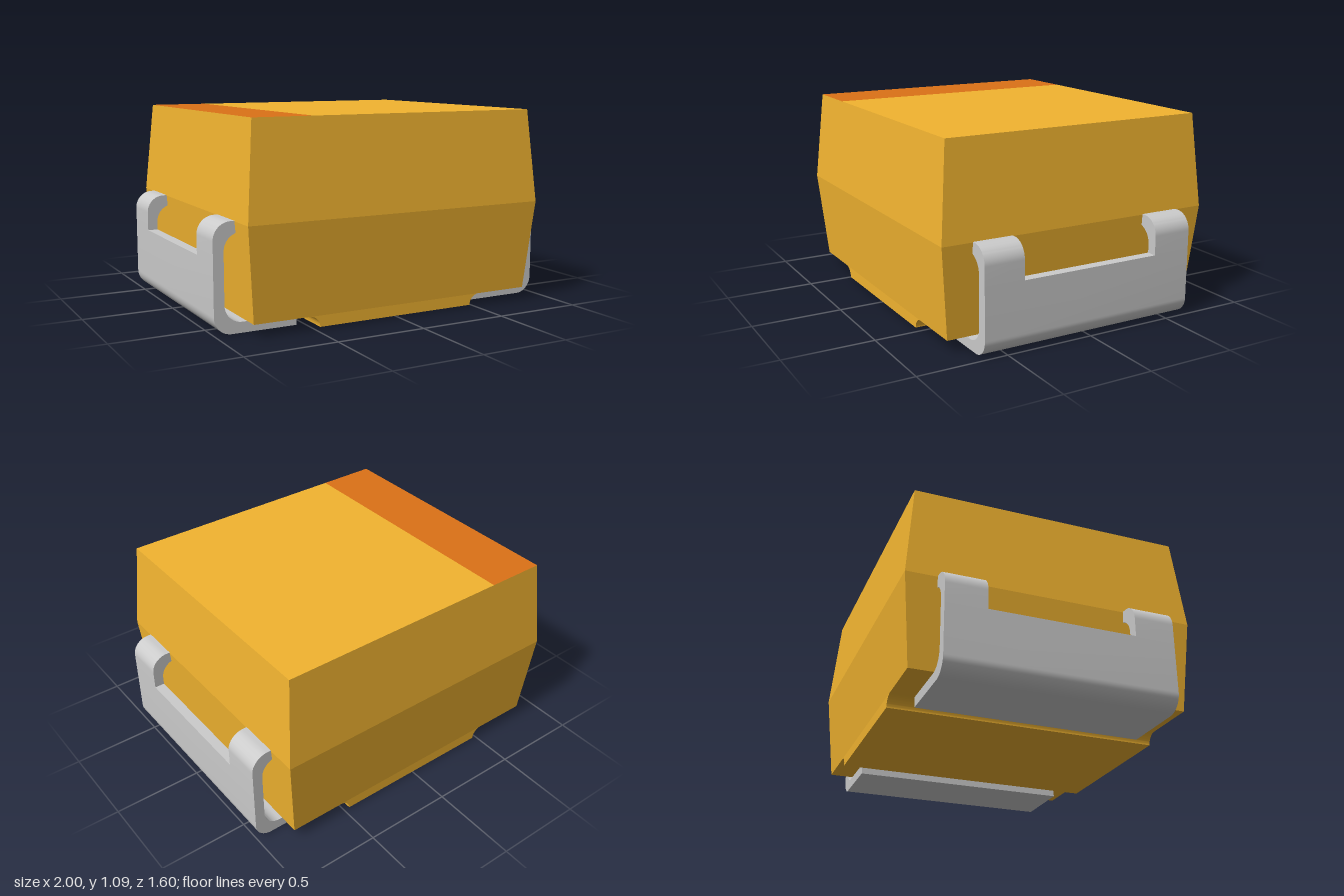
import * as THREE from 'three';
import { toCreasedNormals } from 'three/addons/utils/BufferGeometryUtils.js';

const caseMat = new THREE.MeshStandardMaterial({ color: 0xf2b430 });
const bandMat = new THREE.MeshStandardMaterial({ color: 0xdc7217 });
const leadMat = new THREE.MeshStandardMaterial({ color: 0xcccccc });

const TOP_X = 0.84, TOP_Z = 0.755, TOP_Y = 1.09, BAND_X = -0.505;

function addMesh(parent, name, geometry, material) {
  const mesh = new THREE.Mesh(geometry, material);
  mesh.name = name;
  parent.add(mesh);
  return mesh;
}

// Extrude an x/y profile along z, from z0 to z1
function extrudeZ(shape, z0, z1) {
  const geo = new THREE.ExtrudeGeometry(shape, { depth: z1 - z0, bevelEnabled: false, curveSegments: 8 });
  geo.translate(0, 0, z0);
  return toCreasedNormals(geo, Math.PI / 6);
}

// Case sides and underside: rectangular rings [y, half x, half z], widest at the parting line
function caseGeometry() {
  const rings = [[0.07, TOP_X, TOP_Z], [0.572, 0.883, 0.8], [TOP_Y, TOP_X, TOP_Z]];
  const pos = [], index = [0, 2, 1, 0, 3, 2];
  for (const [y, x, z] of rings) pos.push(x, y, z, x, y, -z, -x, y, -z, -x, y, z);
  for (let r = 0; r < 2; r++) {
    for (let i = 0; i < 4; i++) {
      const a = r * 4 + i, b = r * 4 + (i + 1) % 4;
      index.push(a, b, b + 4, a, b + 4, a + 4);
    }
  }
  let geo = new THREE.BufferGeometry();
  geo.setAttribute('position', new THREE.Float32BufferAttribute(pos, 3));
  geo.setIndex(index);
  geo = geo.toNonIndexed();
  geo.computeVertexNormals();
  return geo;
}

// Flat piece of the top face between two x positions
function topPanel(x0, x1) {
  const geo = new THREE.PlaneGeometry(x1 - x0, TOP_Z * 2);
  geo.rotateX(-Math.PI / 2);
  geo.translate((x0 + x1) / 2, TOP_Y, 0);
  return geo;
}

// Raised strip under the case with concave flanks
function pedestalShape() {
  const s = new THREE.Shape();
  s.moveTo(-0.47, 0.01);
  s.lineTo(0.47, 0.01);
  s.absarc(0.53, 0.01, 0.06, Math.PI, Math.PI / 2, true);
  s.lineTo(-0.53, 0.07);
  s.absarc(-0.53, 0.01, 0.06, Math.PI / 2, 0, true);
  return s;
}

// Bent metal terminal on the +x side: foot and wall, plus two hooks into the case
function createLead() {
  const lead = new THREE.Group();
  const bottom = 0, top = 0.575, t = 0.057, r = 0.095, notchY = 0.375, outer = 1, inner = outer - t;

  const foot = new THREE.Shape();
  foot.moveTo(0.545, bottom);
  foot.lineTo(outer - r, bottom);
  foot.absarc(outer - r, bottom + r, r, -Math.PI / 2, 0, false);
  foot.lineTo(outer, notchY);
  foot.lineTo(inner, notchY);
  foot.lineTo(inner, bottom + t + r);
  foot.absarc(inner - r, bottom + t + r, r, 0, -Math.PI / 2, true);
  foot.lineTo(0.545, bottom + t);
  addMesh(lead, 'footAndWall', extrudeZ(foot, -0.63, 0.63), leadMat);

  const hook = new THREE.Shape();
  hook.moveTo(inner, notchY);
  hook.lineTo(outer, notchY);
  hook.lineTo(outer, top - r);
  hook.absarc(outer - r, top - r, r, 0, Math.PI / 2, false);
  hook.lineTo(inner - r, top);
  hook.lineTo(inner - r, top - t);
  hook.absarc(inner - r, top - t - r, r, Math.PI / 2, 0, true);
  addMesh(lead, 'frontHook', extrudeZ(hook, 0.405, 0.63), leadMat);
  addMesh(lead, 'backHook', extrudeZ(hook, -0.63, -0.405), leadMat);
  return lead;
}

export function createModel() {
  const model = new THREE.Group();
  model.name = 'chipCapacitor';

  addMesh(model, 'case', caseGeometry(), caseMat);
  addMesh(model, 'caseTop', topPanel(BAND_X, TOP_X), caseMat);
  addMesh(model, 'polarityBand', topPanel(-TOP_X, BAND_X), bandMat);
  addMesh(model, 'pedestal', extrudeZ(pedestalShape(), -TOP_Z, TOP_Z), caseMat);

  // The terminals are the same part turned half round
  ['leftLead', 'rightLead'].forEach((name, i) => {
    const lead = createLead();
    lead.name = name;
    lead.rotation.y = i * Math.PI;
    model.add(lead);
  });
  return model;
}
